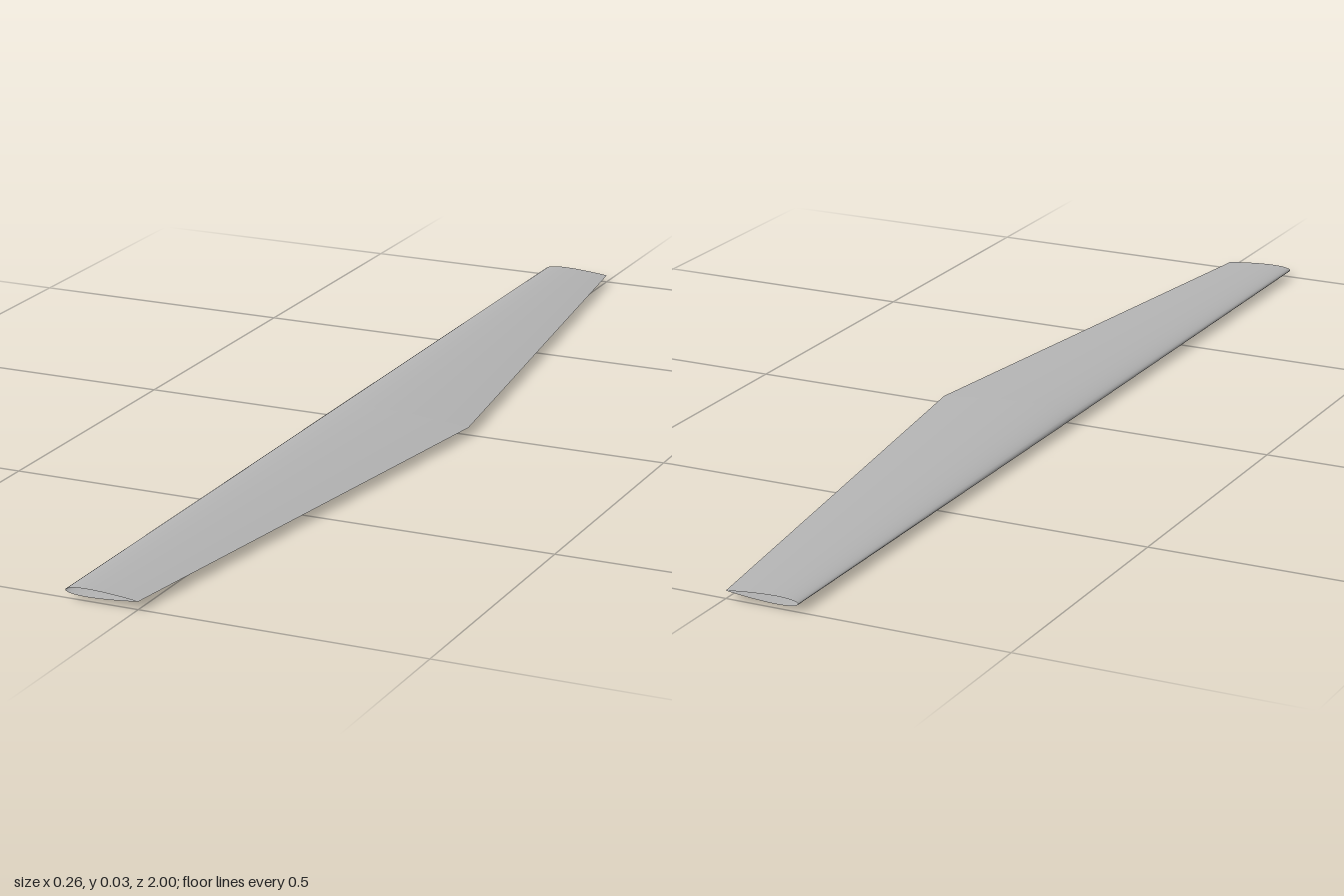
import * as THREE from 'three';

const SIDES = 40;         // points around the aerofoil
const NOSE_X = -0.13;     // straight leading edge
const MID_Y = 0.0135;
const THICKNESS = 0.103;  // thickness as a share of the chord

// Half thickness of a symmetric aerofoil at chord position s (0 nose, 1 tail)
function halfThickness(s) {
  return 5 * THICKNESS * (0.2969 * Math.sqrt(s) - 0.126 * s - 0.3516 * s ** 2 + 0.2843 * s ** 3 - 0.1036 * s ** 4);
}

// Skin between two aerofoil sections, open at both ends; sharp at the tail
function wingHalf(sections) {
  const positions = [], indices = [];
  for (const { z, chord } of sections) {
    for (let j = 0; j <= SIDES; j++) {
      const a = (j / SIDES) * Math.PI * 2;
      const s = (1 + Math.cos(a)) / 2;
      const side = j <= SIDES / 2 ? 1 : -1;
      positions.push(NOSE_X + s * chord, MID_Y + side * halfThickness(s) * chord, z);
    }
  }
  for (let j = 0; j < SIDES; j++) {
    const a = j, b = j + 1, c = j + SIDES + 1, d = c + 1;
    indices.push(a, b, c, b, d, c);
  }
  const geometry = new THREE.BufferGeometry();
  geometry.setAttribute('position', new THREE.Float32BufferAttribute(positions, 3));
  geometry.setIndex(indices);
  geometry.computeVertexNormals();
  return geometry;
}

export function createModel() {
  const group = new THREE.Group();
  group.name = 'wing';
  const skin = new THREE.MeshStandardMaterial({ color: 0xb4b4b4, side: THREE.DoubleSide });
  skin.name = 'light grey';

  const root = { z: 0, chord: 0.26 };
  const front = new THREE.Mesh(wingHalf([root, { z: 1, chord: 0.13 }]), skin);
  front.name = 'frontWingHalf';
  const back = new THREE.Mesh(wingHalf([{ z: -1, chord: 0.13 }, root]), skin);
  back.name = 'backWingHalf';
  group.add(front, back);
  return group;
}
